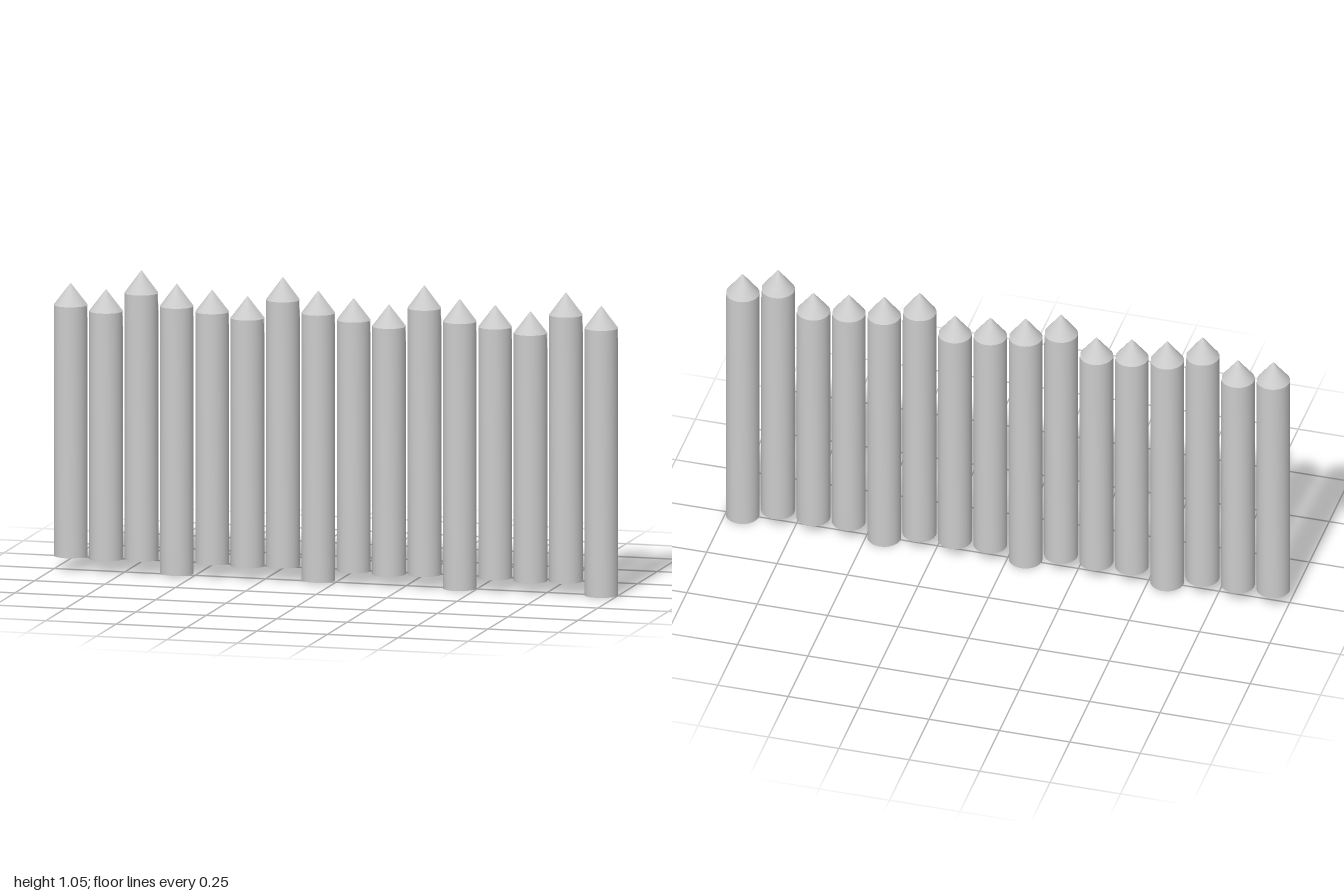
import * as THREE from 'three';
import { toCreasedNormals } from 'three/addons/utils/BufferGeometryUtils.js';

const RADIUS = 0.058;
const SIDES = 24;
const NOTCH_SIDE = 6; // rim corner facing +x, turned slightly to the back

// One pointed log: flat base, round shaft, conical tip with a split on one side
function logGeometry(bottom, rim, tip) {
  const profile = [[0, bottom], [RADIUS, bottom], [RADIUS, rim], [0, tip]]
    .map(([x, y]) => new THREE.Vector2(x, y));
  const turn = THREE.MathUtils.degToRad(11);
  const geometry = new THREE.LatheGeometry(profile, SIDES, turn, Math.PI * 2);
  // pull one rim corner down to form the split
  geometry.attributes.position.setY(NOTCH_SIDE * profile.length + 2, rim - 0.066);
  return toCreasedNormals(geometry, THREE.MathUtils.degToRad(30));
}

export function createModel() {
  const group = new THREE.Group();
  group.name = 'palisadeWall';
  const material = new THREE.MeshStandardMaterial({ color: 0xcccccc });

  // four log heights, repeated along the wall: bottom, rim, tip
  const heights = [
    [0.043, 0.914, 0.990],
    [0.038, 0.898, 0.974],
    [0.043, 0.967, 1.046],
    [0.000, 0.927, 1.005],
  ];
  const count = 16;
  const spacing = 2 * (1 - RADIUS) / (count - 1);

  for (let i = 0; i < count; i++) {
    // the half on the right stands a touch higher
    const lift = i < count / 2 ? 0.005 : 0;
    const [bottom, rim, tip] = heights[i % 4].map((y) => y + lift);
    const log = new THREE.Mesh(logGeometry(bottom, rim, tip), material);
    log.name = `log${i + 1}`;
    log.position.x = -1 + RADIUS + i * spacing;
    group.add(log);
  }
  return group;
}
